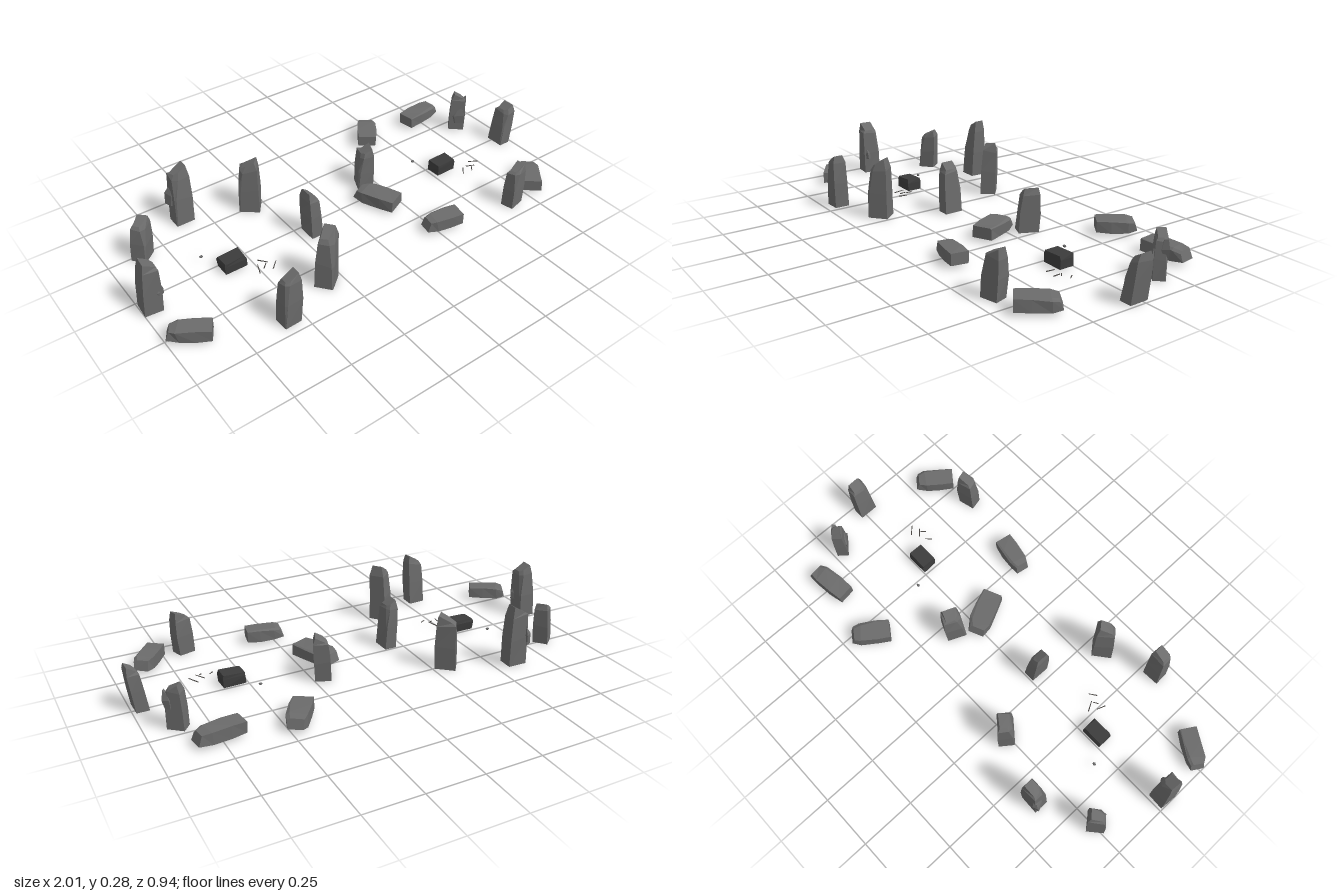
import * as THREE from 'three';
import { mergeVertices } from 'three/addons/utils/BufferGeometryUtils.js';

const mat = (color) => new THREE.MeshStandardMaterial({ color, flatShading: true });
const stoneMat = mat(0x6b6b6b);
const altarMat = mat(0x3c3c3c);
const woodMat = mat(0x4a4744);

let seed = 7;
const rnd = () => {
  seed = (seed * 16807) % 2147483647;
  return seed / 2147483647 - 0.5;
};

// Rough-hewn block along +y: five-cornered sections with one corner chipped
// more and more towards a slanted top. levels = [height, scale, chip] each.
function hewnBlock(w, h, d, levels, tilt = 0.12) {
  const pos = [], idx = [], n = 5;
  levels.forEach(([t, s, chip], k) => {
    const loop = [[1, 1], [1, -1], [-1, -1], [-1, 1 - chip], [-1 + chip, 1]];
    for (const [x, z] of loop) {
      const isTop = k === levels.length - 1;
      const y = t * h - (isTop ? tilt * h * (1 - x) / 2 : 0) + (k && !isTop ? rnd() * 0.08 * h : 0);
      pos.push((x * s * w) / 2 + rnd() * 0.06 * w, y, (z * s * d) / 2 + rnd() * 0.06 * d);
    }
  });
  for (let k = 0; k < levels.length - 1; k++) {
    for (let i = 0; i < n; i++) {
      const a = k * n + i, b = k * n + ((i + 1) % n);
      idx.push(a, b, b + n, a, b + n, a + n);
    }
  }
  const top = (levels.length - 1) * n;
  for (let i = 1; i < n - 1; i++) {
    idx.push(top, top + i, top + i + 1);
    idx.push(0, i + 1, i);
  }
  const g = new THREE.BufferGeometry();
  g.setAttribute('position', new THREE.Float32BufferAttribute(pos, 3));
  g.setIndex(idx);
  g.computeVertexNormals();
  return g;
}

function addMesh(parent, name, geometry, material, x, y, z) {
  const m = new THREE.Mesh(geometry, material);
  m.name = name;
  m.position.set(x, y, z);
  parent.add(m);
  return m;
}

// Upright stone: the top leans by (leanX, leanZ); a flipped one is high on its -x side
function standingStone(parent, [x, z, w, d, h, deg, leanX, leanZ, flip]) {
  const g = hewnBlock(w, h, d, [[0, 1, 0.08], [0.45, 0.99, 0.2], [0.83, 0.88, 0.5], [1, 0.64, 0.6]]);
  g.rotateY(THREE.MathUtils.degToRad(deg + (flip ? 180 : 0)));
  const p = g.attributes.position;
  for (let i = 0; i < p.count; i++) {
    const t = p.getY(i) / h;
    p.setX(i, p.getX(i) + leanX * t);
    p.setZ(i, p.getZ(i) + leanZ * t);
  }
  g.computeVertexNormals();
  addMesh(parent, 'standingStone', g, stoneMat, x, 0.008, z);
}

// Toppled stone lying flat; its tip points along deg
function fallenStone(parent, [x, z, length, width, deg, tip]) {
  const g = hewnBlock(0.056, length, width, [[0, 0.92, 0.1], [0.35, 1, 0.15], [0.75, 0.98, 0.3], [1, tip, 0.4]], 0.08);
  g.translate(0, -length / 2, 0);
  g.rotateZ(-Math.PI / 2);
  g.rotateY(THREE.MathUtils.degToRad(deg));
  addMesh(parent, 'fallenStone', g, stoneMat, x, 0.048, z);
}

// Low dark slab at the middle of a circle
function altar(parent, x, z) {
  const g = hewnBlock(0.1, 0.055, 0.07, [[0, 1, 0.05], [0.7, 1, 0.08], [1, 0.92, 0.1]], 0.08);
  addMesh(parent, 'altarSlab', g, altarMat, x, 0.012, z);
}

function twig(parent, [x1, z1, x2, z2]) {
  const a = new THREE.Vector3(x1, 0.024, z1), b = new THREE.Vector3(x2, 0.033, z2);
  const dir = b.clone().sub(a);
  const m = addMesh(parent, 'twig', new THREE.CylinderGeometry(0.0018, 0.0025, dir.length(), 5), woodMat,
    (x1 + x2) / 2, 0.028, (z1 + z2) / 2);
  m.quaternion.setFromUnitVectors(new THREE.Vector3(0, 1, 0), dir.normalize());
}

function pebble(parent, x, z) {
  const g = mergeVertices(new THREE.IcosahedronGeometry(0.008, 0));
  g.scale(1.1, 0.8, 0.9);
  addMesh(parent, 'pebble', g, stoneMat, x, 0.032, z);
}

// Thin flake splitting off a standing stone
function shard(parent, x, y, z, w, h, d, deg, lean) {
  const g = hewnBlock(w, h, d, [[0, 0.8, 0.2], [0.5, 1, 0.3], [1, 0.5, 0.5]], 0.25);
  const m = addMesh(parent, 'stoneShard', g, stoneMat, x, y, z);
  m.rotation.set(0, THREE.MathUtils.degToRad(deg), lean);
}

export function createModel() {
  seed = 7;
  const model = new THREE.Group();
  model.name = 'stoneCircles';

  // Circle that mostly still stands
  const intact = new THREE.Group();
  intact.name = 'intactCircle';
  // x, z, width, depth, height, turn, lean x, lean z, flip
  [
    [-0.85, -0.24, 0.078, 0.066, 0.195, 40, 0.015, 0.0, false],
    [-0.6, -0.355, 0.085, 0.068, 0.282, 0, 0.012, -0.012, false],
    [-0.315, -0.25, 0.092, 0.07, 0.252, -40, 0.01, -0.008, false],
    [-0.187, 0.05, 0.055, 0.085, 0.228, 0, -0.012, 0.0, true],
    [-0.32, 0.34, 0.09, 0.075, 0.272, 40, 0.012, 0.0, false],
    [-0.56, 0.43, 0.078, 0.066, 0.246, 0, 0.01, 0.006, false],
    [-0.958, 0.053, 0.076, 0.08, 0.252, -5, 0.01, 0.01, true],
  ].forEach((s) => standingStone(intact, s));
  fallenStone(intact, [-0.91, 0.285, 0.175, 0.078, 148, 0.72]);
  altar(intact, -0.58, 0.038);
  shard(intact, -0.64, 0.1, -0.375, 0.025, 0.1, 0.045, 20, -0.15);
  shard(intact, -0.925, 0.08, 0.08, 0.035, 0.06, 0.03, 30, 0.2);
  [
    [-0.485, 0.083, -0.462, 0.125], [-0.518, 0.155, -0.505, 0.115],
    [-0.46, 0.163, -0.43, 0.138], [-0.49, 0.14, -0.47, 0.125],
  ].forEach((t) => twig(intact, t));
  pebble(intact, -0.667, -0.066);

  // Circle that has mostly fallen
  const ruined = new THREE.Group();
  ruined.name = 'ruinedCircle';
  [
    [0.868, -0.195, 0.076, 0.052, 0.195, -40, 0.005, 0.0, true],
    [0.958, 0.018, 0.056, 0.085, 0.2, 0, 0.026, 0.0, false],
    [0.198, -0.09, 0.07, 0.088, 0.2, -25, 0.014, -0.004, false],
    [0.65, 0.415, 0.08, 0.06, 0.202, 15, 0.014, -0.003, false],
  ].forEach((s) => standingStone(ruined, s));
  // x, z, length, width, direction, tip scale
  [
    [0.44, -0.38, 0.175, 0.09, 55, 0.72],
    [0.758, -0.353, 0.2, 0.085, 8, 0.75],
    [0.16, 0.058, 0.2, 0.1, 114, 0.7],
    [0.285, 0.355, 0.17, 0.08, 170, 0.75],
    [0.83, 0.352, 0.175, 0.085, 53, 0.75],
  ].forEach((s) => fallenStone(ruined, s));
  altar(ruined, 0.563, 0.038);
  shard(ruined, 0.865, 0.05, -0.172, 0.06, 0.08, 0.025, -40, 0.12);
  shard(ruined, 0.895, 0.1, -0.195, 0.03, 0.08, 0.03, -40, -0.15);
  [
    [0.695, 0.083, 0.725, 0.115], [0.66, 0.105, 0.69, 0.13],
    [0.612, 0.14, 0.632, 0.115], [0.662, 0.145, 0.675, 0.125],
  ].forEach((t) => twig(ruined, t));
  pebble(ruined, 0.475, -0.066);

  model.add(intact, ruined);

  // Settle on the ground
  model.position.y = -new THREE.Box3().setFromObject(model).min.y;
  return model;
}
